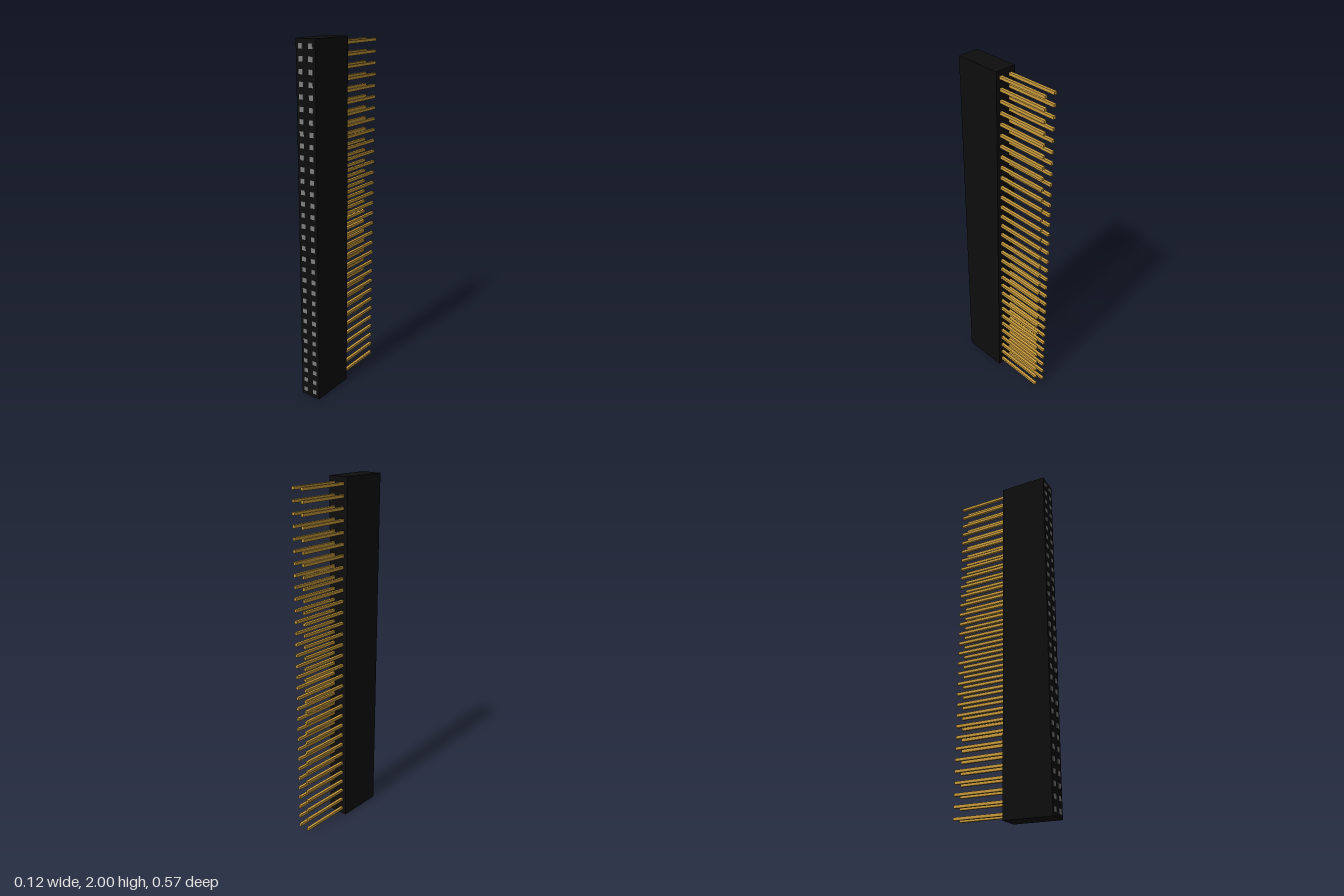
import * as THREE from 'three';

const ROWS = 32, COLUMN_X = 0.031, FIRST_Y = 0.036, PITCH = (2 - 2 * FIRST_Y) / (ROWS - 1);

export function createModel() {
  const black = new THREE.MeshStandardMaterial({ color: 0x0d0d0d });
  black.name = 'black plastic';
  const gold = new THREE.MeshStandardMaterial({ color: 0xc89b3c });
  gold.name = 'gold';
  const grey = new THREE.MeshStandardMaterial({ color: 0x808080 });
  grey.name = 'socket grey';

  const model = new THREE.Group();
  model.name = 'pinHeader';

  const addBox = (parent, name, geometry, material, x, y, z) => {
    const mesh = new THREE.Mesh(geometry, material);
    mesh.name = name;
    mesh.position.set(x, y, z);
    parent.add(mesh);
  };

  // Tall plastic housing
  addBox(model, 'housing', new THREE.BoxGeometry(0.121, 2, 0.27), black, 0, 1, 0.148);

  // Two columns of square pins at the back, with socket plates on the front
  const pins = new THREE.Group();
  pins.name = 'pins';
  const sockets = new THREE.Group();
  sockets.name = 'sockets';
  model.add(pins, sockets);

  const pinGeometry = new THREE.BoxGeometry(0.016, 0.016, 0.302);
  const socketGeometry = new THREE.BoxGeometry(0.026, 0.026, 0.004);
  for (let row = 0; row < ROWS; row++) {
    const y = FIRST_Y + row * PITCH;
    for (const x of [-COLUMN_X, COLUMN_X]) {
      addBox(pins, 'pin', pinGeometry, gold, x, y, -0.134);
      addBox(sockets, 'socket', socketGeometry, grey, x, y, 0.283);
    }
  }
  return model;
}
